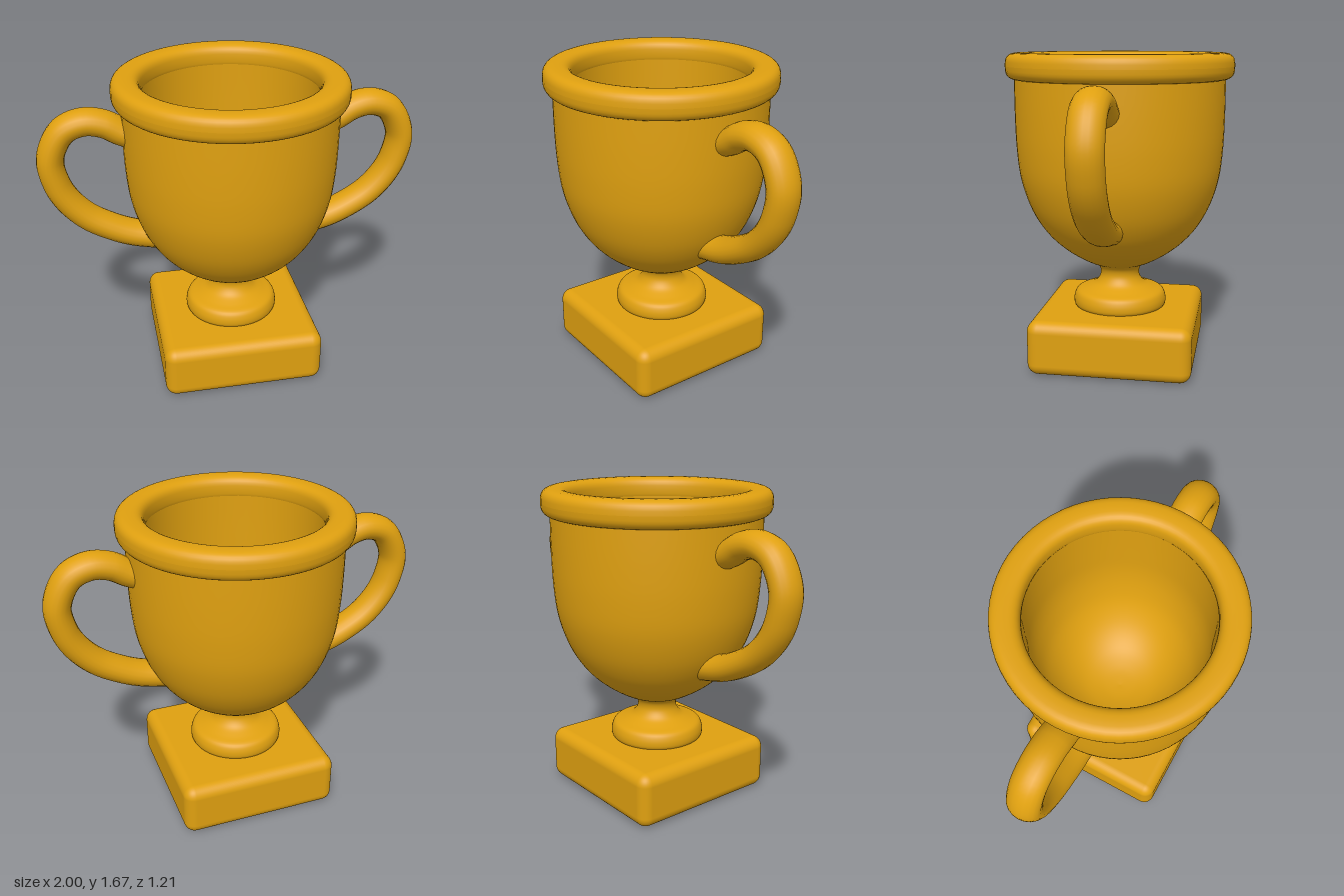
import * as THREE from 'three';
import { RoundedBoxGeometry } from 'three/addons/geometries/RoundedBoxGeometry.js';

const gold = new THREE.MeshStandardMaterial({ color: 0xdfa010 });
gold.name = 'gold';

// Smooth 2D curve through a few [radius, height] points
const smooth = (pts, n) => new THREE.SplineCurve(pts.map(p => new THREE.Vector2(...p))).getPoints(n);

function addMesh(parent, name, geometry) {
  const mesh = new THREE.Mesh(geometry, gold);
  mesh.name = name;
  parent.add(mesh);
  return mesh;
}

const lathe = (points) => new THREE.LatheGeometry(points, 64);

export function createModel() {
  const trophy = new THREE.Group();
  trophy.name = 'trophyCup';

  // Square plinth with soft edges
  addMesh(trophy, 'base', new RoundedBoxGeometry(0.87, 0.295, 0.87, 5, 0.06)).position.y = 0.1475;

  // Collar and waisted stem
  addMesh(trophy, 'stem', lathe(smooth([
    [0.245, 0.29], [0.255, 0.31], [0.253, 0.345], [0.235, 0.378], [0.185, 0.396],
    [0.135, 0.42], [0.108, 0.46], [0.11, 0.5], [0.135, 0.53], [0.17, 0.55],
  ], 40)));

  // Bowl outside and inside
  addMesh(trophy, 'bowlOutside', lathe(smooth([
    [0.09, 0.515], [0.14, 0.53], [0.2, 0.557], [0.28, 0.606], [0.36, 0.672], [0.43, 0.755],
    [0.49, 0.865], [0.535, 1.01], [0.554, 1.17], [0.56, 1.35], [0.56, 1.56],
  ], 48)));
  addMesh(trophy, 'bowlInside', lathe(smooth([
    [0.462, 1.6], [0.462, 1.35], [0.458, 1.17], [0.435, 1.02], [0.39, 0.88],
    [0.31, 0.755], [0.21, 0.67], [0.1, 0.63], [0, 0.62],
  ], 40)));

  // Rim with a rounded, slightly square section
  const bulge = (v) => Math.sign(v) * Math.abs(v) ** 0.7;
  const section = [];
  for (let i = 0; i <= 32; i++) {
    const a = (i / 32) * Math.PI * 2;
    section.push(new THREE.Vector2(0.532 + 0.074 * bulge(Math.cos(a)), 1.605 + 0.07 * bulge(Math.sin(a))));
  }
  addMesh(trophy, 'rim', lathe(section));

  // Mirrored ear-shaped handles, a little wider in depth
  const path = [
    [0.5, 1.38], [0.57, 1.41], [0.65, 1.455], [0.75, 1.472], [0.855, 1.43], [0.927, 1.29], [0.91, 1.15],
    [0.86, 1.045], [0.77, 0.945], [0.65, 0.87], [0.54, 0.823], [0.4, 0.79],
  ];
  for (const [name, side] of [['leftHandle', 1], ['rightHandle', -1]]) {
    const curve = new THREE.CatmullRomCurve3(path.map(([x, y]) => new THREE.Vector3(side * x, y, 0)));
    addMesh(trophy, name, new THREE.TubeGeometry(curve, 64, 0.07, 20).scale(1, 1, 1.27));
  }

  return trophy;
}
